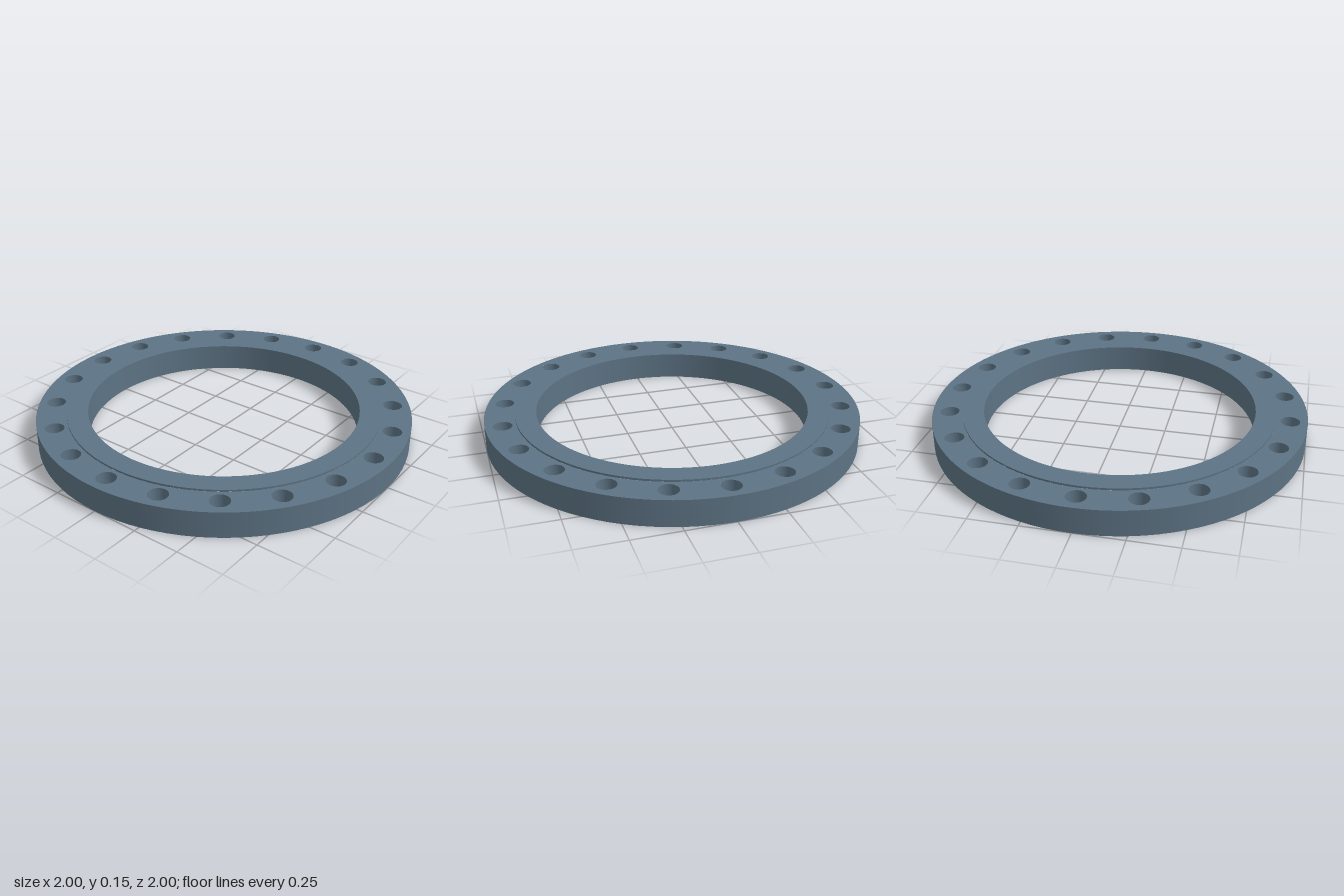
import * as THREE from 'three';

const SEGMENTS = 96, BOLTS = 20;
const OUTER = 1, STEP = 0.84, BORE = 0.728;
const TOP = 0.138, RAISED = 0.148;
const BOLT_CIRCLE = 0.91, BOLT_RADIUS = 0.05;

export function createModel() {
  const flange = new THREE.Group();
  flange.name = 'flange';
  const material = new THREE.MeshStandardMaterial({ color: 0x5d7384 });

  const add = (name, geometry, parent = flange) => {
    const mesh = new THREE.Mesh(geometry, material);
    mesh.name = name;
    parent.add(mesh);
    return mesh;
  };

  // Revolved band between two [radius, height] points; upward faces out, downward faces in
  const band = (from, to, segments = SEGMENTS) =>
    new THREE.LatheGeometry([new THREE.Vector2(...from), new THREE.Vector2(...to)], segments);

  const boltPositions = Array.from({ length: BOLTS }, (_, i) => {
    const a = (i / BOLTS) * Math.PI * 2;
    return [BOLT_CIRCLE * Math.cos(a), BOLT_CIRCLE * Math.sin(a)];
  });

  // Flat ring pierced by the bolt holes
  const drilledRing = (inner) => {
    const shape = new THREE.Shape().absarc(0, 0, OUTER, 0, Math.PI * 2);
    shape.holes.push(new THREE.Path().absarc(0, 0, inner, 0, Math.PI * 2, true));
    for (const [x, y] of boltPositions) {
      shape.holes.push(new THREE.Path().absarc(x, y, BOLT_RADIUS, 0, Math.PI * 2, true));
    }
    return new THREE.ShapeGeometry(shape, SEGMENTS);
  };

  // Drilled faces
  add('boltFace', drilledRing(STEP).rotateX(-Math.PI / 2).translate(0, TOP, 0));
  add('bottomFace', drilledRing(BORE).rotateX(Math.PI / 2));

  // Rim, raised sealing face and bore
  add('outerRim', band([OUTER, 0], [OUTER, TOP]));
  add('raisedFaceEdge', band([STEP, TOP], [STEP, RAISED]));
  add('raisedFace', band([STEP, RAISED], [BORE, RAISED]));
  add('bore', band([BORE, RAISED], [BORE, 0]));

  // Bolt hole walls
  const holes = new THREE.Group();
  holes.name = 'boltHoles';
  flange.add(holes);
  const holeWall = band([BOLT_RADIUS, TOP], [BOLT_RADIUS, 0], SEGMENTS);
  for (const [x, z] of boltPositions) add('boltHole', holeWall, holes).position.set(x, 0, z);

  return flange;
}
